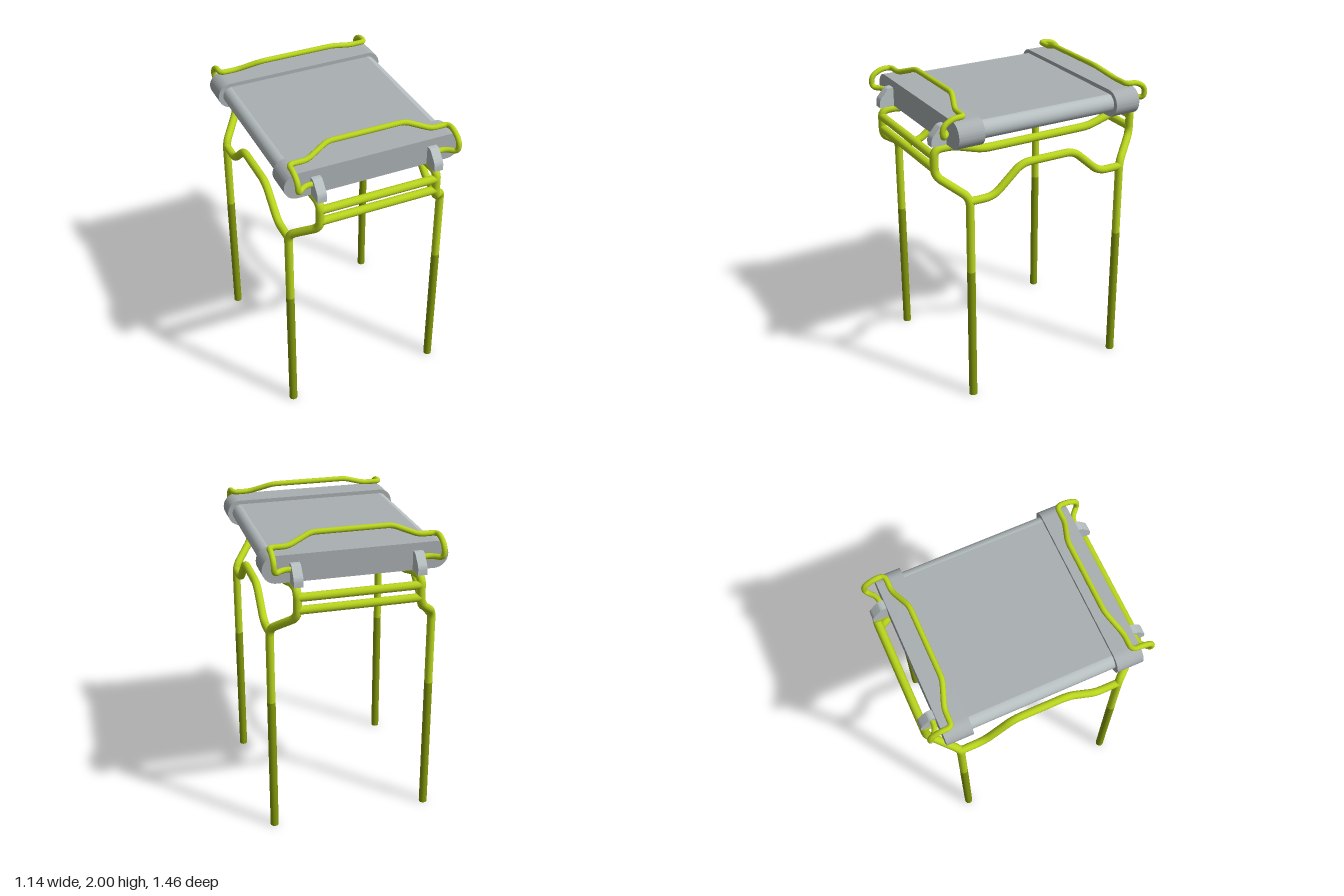
import * as THREE from 'three';
import { toCreasedNormals } from 'three/addons/utils/BufferGeometryUtils.js';

const lime = new THREE.MeshStandardMaterial({ color: 0xb8d41c });
lime.name = 'lime tube';
const olive = new THREE.MeshStandardMaterial({ color: 0x84980a });
olive.name = 'olive leg';
const grey = new THREE.MeshStandardMaterial({ color: 0xaab0b2 });
grey.name = 'grey panel';
const lightGrey = new THREE.MeshStandardMaterial({ color: 0xb8c0c2 });
lightGrey.name = 'light grey fitting';

const TUBE = 0.026;
const LEG_X = 0.516;
const LEG_Z = 0.54;
const POST_X = 0.38;
const POST_Z = 0.703;
const SPLIT = 0.91;

// Polyline through points with every inner corner rounded off
function roundedPath(points, radius) {
  const pts = points.map((p) => new THREE.Vector3(...p));
  const path = new THREE.CurvePath();
  let last = pts[0];
  for (let i = 1; i < pts.length - 1; i++) {
    const c = pts[i];
    const cut = (to) => c.clone().lerp(to, Math.min(0.48, radius / c.distanceTo(to)));
    const a = cut(pts[i - 1]);
    const b = cut(pts[i + 1]);
    path.add(new THREE.LineCurve3(last, a));
    path.add(new THREE.QuadraticBezierCurve3(a, c, b));
    last = b;
  }
  path.add(new THREE.LineCurve3(last, pts[pts.length - 1]));
  return path;
}

// Half a path continued by its mirror image along one axis (0 = x, 2 = z)
function mirrored(half, axis) {
  const other = half.map((p) => p.map((v, i) => (i === axis ? -v : v))).reverse();
  return [...half, ...other];
}

export function createModel() {
  const model = new THREE.Group();
  model.name = 'stand';

  function add(name, geometry, material, x = 0, y = 0, z = 0) {
    const mesh = new THREE.Mesh(geometry, material);
    mesh.name = name;
    mesh.position.set(x, y, z);
    model.add(mesh);
    return mesh;
  }
  const tube = (name, points, r, bend, segments) =>
    add(name, new THREE.TubeGeometry(roundedPath(points, bend), segments, r, 16), lime);

  for (const s of [1, -1]) {
    // Side frame: leg, post, top rail, post and leg in one bent tube
    tube('sideFrame', mirrored([
      [s * LEG_X, SPLIT, LEG_Z],
      [s * LEG_X, 1.41, LEG_Z],
      [s * POST_X, 1.535, POST_Z],
      [s * POST_X, 1.704, POST_Z],
      [s * POST_X, 1.704, 0.58],
      [s * POST_X, 1.645, 0.38],
    ], 2), TUBE, 0.05, 240);

    // Arched lower side rail between the legs
    tube('sideRail', mirrored([
      [s * LEG_X, 1.385, LEG_Z],
      [s * LEG_X, 1.385, 0.38],
      [s * LEG_X, 1.56, 0.185],
    ], 2), 0.025, 0.06, 110);

    // Round edge bar of the top
    const bar = new THREE.CylinderGeometry(0.0575, 0.0575, 0.94, 28);
    bar.rotateX(Math.PI / 2);
    add('edgeBar', bar, lightGrey, s * 0.482, 1.8175, 0);

    // Dark lower leg sections
    for (const e of [1, -1]) {
      add('lowerLeg', new THREE.CylinderGeometry(0.0265, 0.0265, SPLIT, 20), olive,
        s * LEG_X, SPLIT / 2, e * LEG_Z);
    }
  }

  // Flat sheet flush with the top of the edge bars
  add('topSheet', new THREE.BoxGeometry(0.964, 0.02, 0.94), grey, 0, 1.865, 0);

  // Stadium-shaped end beam
  const beamShape = new THREE.Shape();
  beamShape.absarc(0.485, 0, 0.085, -Math.PI / 2, Math.PI / 2);
  beamShape.absarc(-0.485, 0, 0.085, Math.PI / 2, Math.PI * 1.5);
  beamShape.closePath();
  const beam = toCreasedNormals(new THREE.ExtrudeGeometry(beamShape,
    { depth: 0.17, bevelEnabled: false, curveSegments: 20 }), 0.6);
  beam.translate(0, 0, -0.085);

  // Bracket profile in z (across) and y, with a sloped outer top
  const lug = new THREE.Shape();
  lug.moveTo(0.61, 1.73);
  lug.lineTo(0.727, 1.73);
  lug.lineTo(0.727, 1.765);
  lug.quadraticCurveTo(0.725, 1.785, 0.71, 1.8);
  lug.lineTo(0.675, 1.84);
  lug.quadraticCurveTo(0.665, 1.852, 0.645, 1.852);
  lug.lineTo(0.61, 1.852);
  lug.closePath();
  const bracket = toCreasedNormals(new THREE.ExtrudeGeometry(lug,
    { depth: 0.058, bevelEnabled: false, curveSegments: 6 }), 0.6);
  bracket.rotateY(-Math.PI / 2);
  bracket.translate(0.029, 0, 0);

  for (const e of [1, -1]) {
    add('endBeam', beam, grey, 0, 1.815, e * 0.545);

    // Crossbars joining the two posts
    for (const y of [1.66, 1.58]) {
      const cross = new THREE.CylinderGeometry(TUBE, TUBE, 2 * POST_X, 16);
      cross.rotateZ(Math.PI / 2);
      add('crossbar', cross, lime, 0, y, e * POST_Z);
    }

    // Brackets holding the handle; turned round for the back end
    for (const s of [1, -1]) {
      add('bracket', bracket, lightGrey, s * 0.376, 0, 0).rotation.y = e > 0 ? 0 : Math.PI;
    }

    // Bent handle
    tube('handle', mirrored([
      [0.37, 1.818, e * 0.65],
      [0.455, 1.818, e * 0.65],
      [0.515, 1.818, e * 0.707],
      [0.515, 1.89, e * 0.707],
      [0.515, 1.93, e * 0.64],
      [0.515, 1.93, e * 0.567],
      [0.4, 1.93, e * 0.567],
      [0.25, 1.983, e * 0.512],
    ], 0), 0.017, 0.035, 200);
  }

  return model;
}
